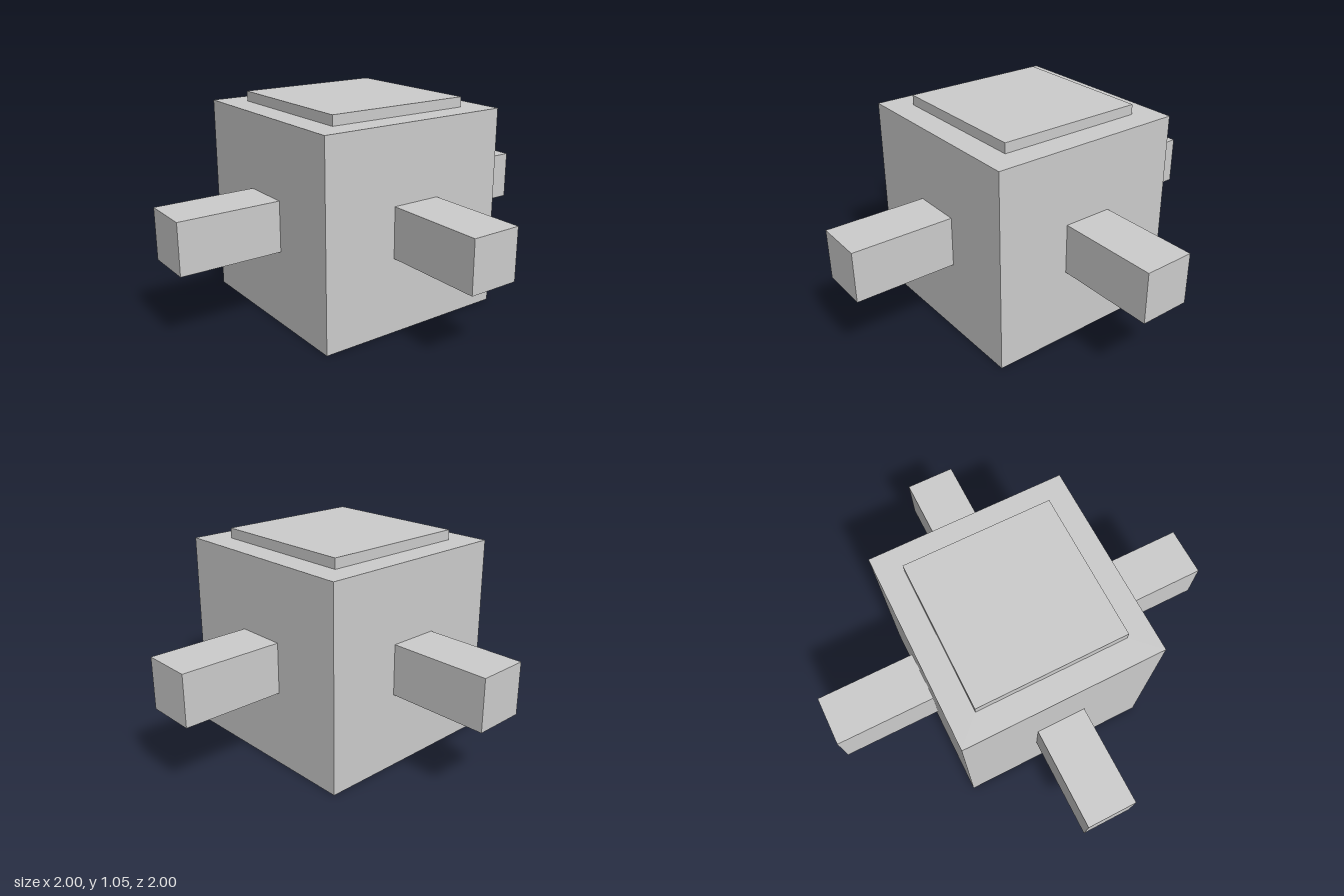
import * as THREE from 'three';

const material = new THREE.MeshStandardMaterial({ color: 0xcccccc, flatShading: true });

function addMesh(parent, name, geometry, x = 0, y = 0, z = 0) {
  const mesh = new THREE.Mesh(geometry, material);
  mesh.name = name;
  mesh.position.set(x, y, z);
  parent.add(mesh);
  return mesh;
}

// Corners of a centred square, counter-clockwise
function squarePoints(size) {
  const h = size / 2;
  return [[-h, -h], [h, -h], [h, h], [-h, h]].map(([x, y]) => new THREE.Vector2(x, y));
}

export function createModel() {
  const model = new THREE.Group();
  model.name = 'hubBlock';

  const bodySize = 1, innerSize = 0.75, socketDepth = 0.25, plateTop = 1.05;
  const armWidth = 0.25, armLength = 0.5;

  // Cube body: a square sleeve standing on the ground
  const sleeve = new THREE.Shape(squarePoints(bodySize));
  sleeve.holes.push(new THREE.Path(squarePoints(innerSize).reverse()));
  const sleeveGeometry = new THREE.ExtrudeGeometry(sleeve, { depth: bodySize, bevelEnabled: false });
  sleeveGeometry.rotateX(-Math.PI / 2);
  addMesh(model, 'body', sleeveGeometry);

  // Core fills the sleeve: its underside is the socket ceiling, its top the raised plate
  const coreHeight = plateTop - socketDepth;
  addMesh(model, 'coreAndTopPlate', new THREE.BoxGeometry(innerSize, coreHeight, innerSize),
    0, socketDepth + coreHeight / 2, 0);

  // Four square arms, one on each side
  const armGeometry = new THREE.BoxGeometry(armWidth, armWidth, armLength);
  ['frontArm', 'leftArm', 'backArm', 'rightArm'].forEach((name, i) => {
    const angle = i * Math.PI / 2;
    const reach = (bodySize + armLength) / 2;
    const arm = addMesh(model, name, armGeometry, Math.sin(angle) * reach, bodySize / 2, Math.cos(angle) * reach);
    arm.rotation.y = angle;
  });

  return model;
}
